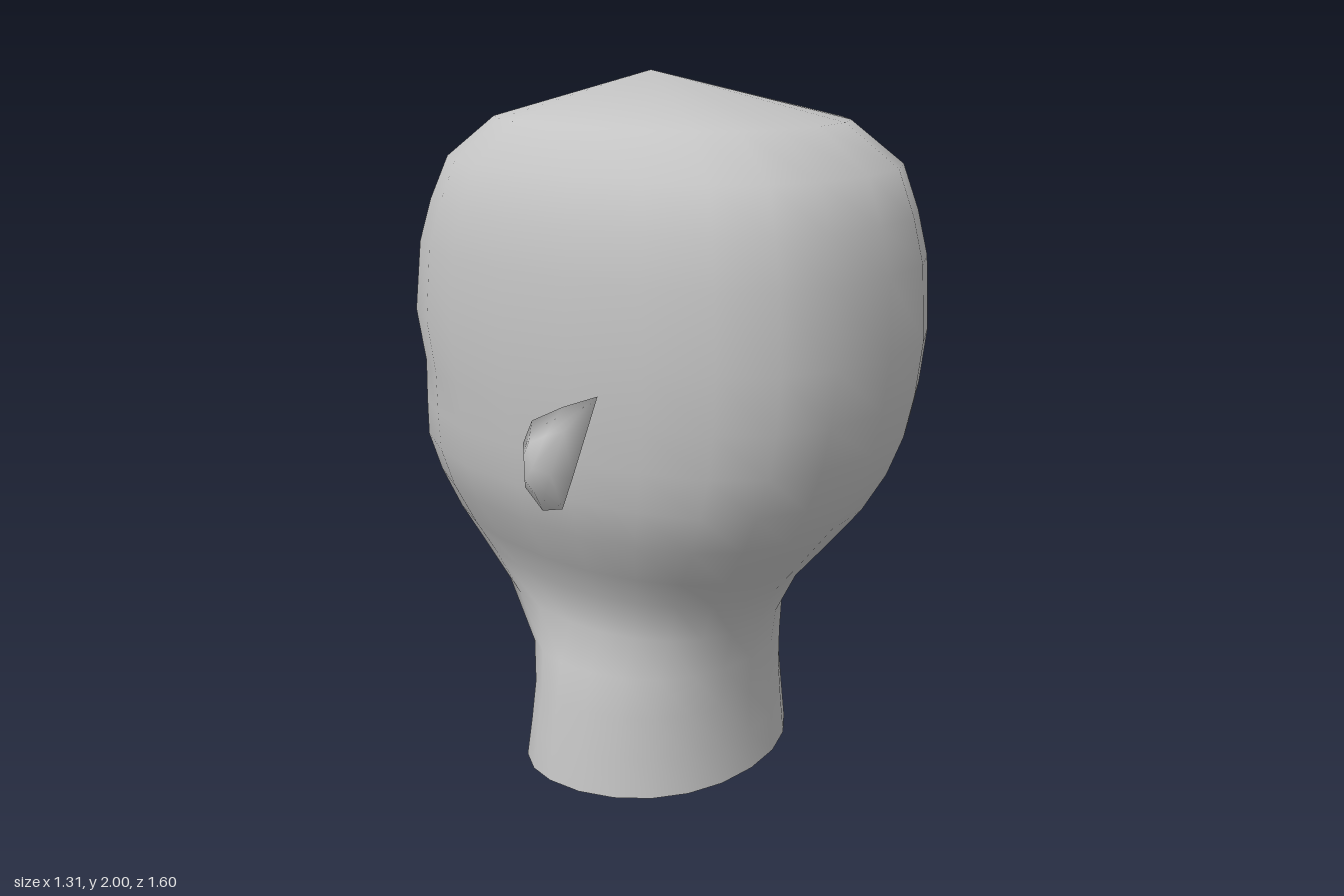
import * as THREE from 'three';

const skin = new THREE.MeshStandardMaterial({ color: 0xc4c4c4, side: THREE.DoubleSide });
skin.name = 'plain grey';

function surface(name, positions, index) {
  const g = new THREE.BufferGeometry();
  g.setAttribute('position', new THREE.Float32BufferAttribute(positions, 3));
  g.setIndex(index);
  g.computeVertexNormals();
  const mesh = new THREE.Mesh(g, skin);
  mesh.name = name;
  return mesh;
}

// Half plan of the skull from face to nape: [x, z] as fractions of the ring's extents
const PLAN = [[0, -1], [0.345, -0.99], [0.58, -0.915], [0.75, -0.81], [0.89, -0.585], [0.975, -0.34],
  [1, 0], [0.975, 0.27], [0.89, 0.53], [0.76, 0.74], [0.58, 0.885], [0.345, 0.97], [0, 1]];

// Rings: height, half width, face z, nape z, extra push of the centre line, fullness (0 ellipse, 1 skull)
const RINGS = [
  [0, 0.445, -0.30, 0.40, 0, 0.2], [0.12, 0.43, -0.28, 0.39, 0, 0.2], [0.24, 0.41, -0.275, 0.385, 0, 0.2],
  [0.36, 0.39, -0.305, 0.39, 0, 0.3], [0.475, 0.35, -0.475, 0.41, 0.02, 0.4], [0.6, 0.38, -0.60, 0.47, 0.04, 0.5],
  [0.7, 0.435, -0.63, 0.55, 0.05, 0.7], [0.83, 0.505, -0.635, 0.65, 0.065, 0.9], [0.945, 0.54, -0.65, 0.715, 0.145, 1],
  [1.06, 0.555, -0.632, 0.76, 0.075, 1], [1.18, 0.565, -0.615, 0.785, 0.005, 1], [1.33, 0.575, -0.645, 0.80, 0, 1],
  [1.53, 0.57, -0.61, 0.785, 0, 1], [1.65, 0.545, -0.57, 0.755, 0, 1], [1.77, 0.51, -0.51, 0.71, 0, 1],
  [1.88, 0.41, -0.37, 0.56, 0, 1],
];

function makeHead() {
  const n = 24, pos = [], idx = [];
  for (const [y, w, front, back, push, full] of RINGS) {
    for (let i = 0; i < n; i++) {
      const k = i <= 12 ? i : n - i, a = (k / 12) * Math.PI;
      const x = THREE.MathUtils.lerp(Math.sin(a), PLAN[k][0], full);
      const z = THREE.MathUtils.lerp(-Math.cos(a), PLAN[k][1], full);
      pos.push((i <= 12 ? 1 : -1) * x * w, y, (z < 0 ? -z * front : z * back) - (k === 0 ? push : 0));
    }
  }
  for (let j = 0; j < RINGS.length - 1; j++) {
    for (let i = 0; i < n; i++) {
      const a = j * n + i, b = j * n + (i + 1) % n;
      idx.push(a, a + n, b + n, a, b + n, b);
    }
  }
  // Crown
  const top = pos.length / 3, last = top - n;
  pos.push(0, 2, 0);
  for (let i = 0; i < n; i++) idx.push(last + i, top, last + (i + 1) % n);
  return surface('headAndNeck', pos, idx);
}

// Pointed ear: outline, a raised ring on the outside and a shallow inner side
function makeEar(s) {
  const rim = [[0.638, 1.29, 0.40], [0.603, 1.225, 0.245], [0.575, 1.155, 0.105], [0.562, 1.08, 0.055],
    [0.555, 0.955, 0.05], [0.545, 0.90, 0.105], [0.585, 0.945, 0.22], [0.612, 1.05, 0.285]];
  const n = rim.length, mid = [0.645, 1.06, 0.175], pos = [], idx = [];
  rim.forEach(p => pos.push(s * p[0], p[1], p[2]));
  rim.forEach(p => {
    const q = p.map((v, a) => THREE.MathUtils.lerp(v, mid[a], 0.45));
    pos.push(s * (q[0] + 0.012), q[1], q[2]);
  });
  pos.push(s * mid[0], mid[1], mid[2], s * 0.565, 1.06, 0.17);
  const tri = (a, b, c) => (s > 0 ? idx.push(a, b, c) : idx.push(a, c, b));
  for (let i = 0; i < n; i++) {
    const j = (i + 1) % n;
    tri(i, n + j, j);
    tri(i, n + i, n + j);
    tri(2 * n, n + j, n + i);
    tri(2 * n + 1, i, j);
  }
  return surface(s > 0 ? 'leftEar' : 'rightEar', pos, idx);
}

// Arched brow strip: [x, lower y, upper y, z], tapering outwards
function makeBrow(s) {
  const path = [[0.075, 1.245, 1.29, -0.68], [0.13, 1.278, 1.315, -0.672], [0.19, 1.285, 1.32, -0.66],
    [0.26, 1.272, 1.298, -0.648], [0.33, 1.24, 1.248, -0.622]];
  const pos = [], idx = [];
  path.forEach(([x, lo, hi, z]) => pos.push(s * x, lo, z, s * x, hi, z + 0.004));
  for (let i = 0; i < path.length - 1; i++) {
    const a = 2 * i;
    if (s > 0) idx.push(a, a + 1, a + 3, a, a + 3, a + 2);
    else idx.push(a, a + 3, a + 1, a, a + 2, a + 3);
  }
  return surface(s > 0 ? 'leftBrow' : 'rightBrow', pos, idx);
}

export function createModel() {
  const model = new THREE.Group();
  model.name = 'headBust';
  model.add(makeHead());
  for (const s of [1, -1]) model.add(makeEar(s), makeBrow(s));
  return model;
}
